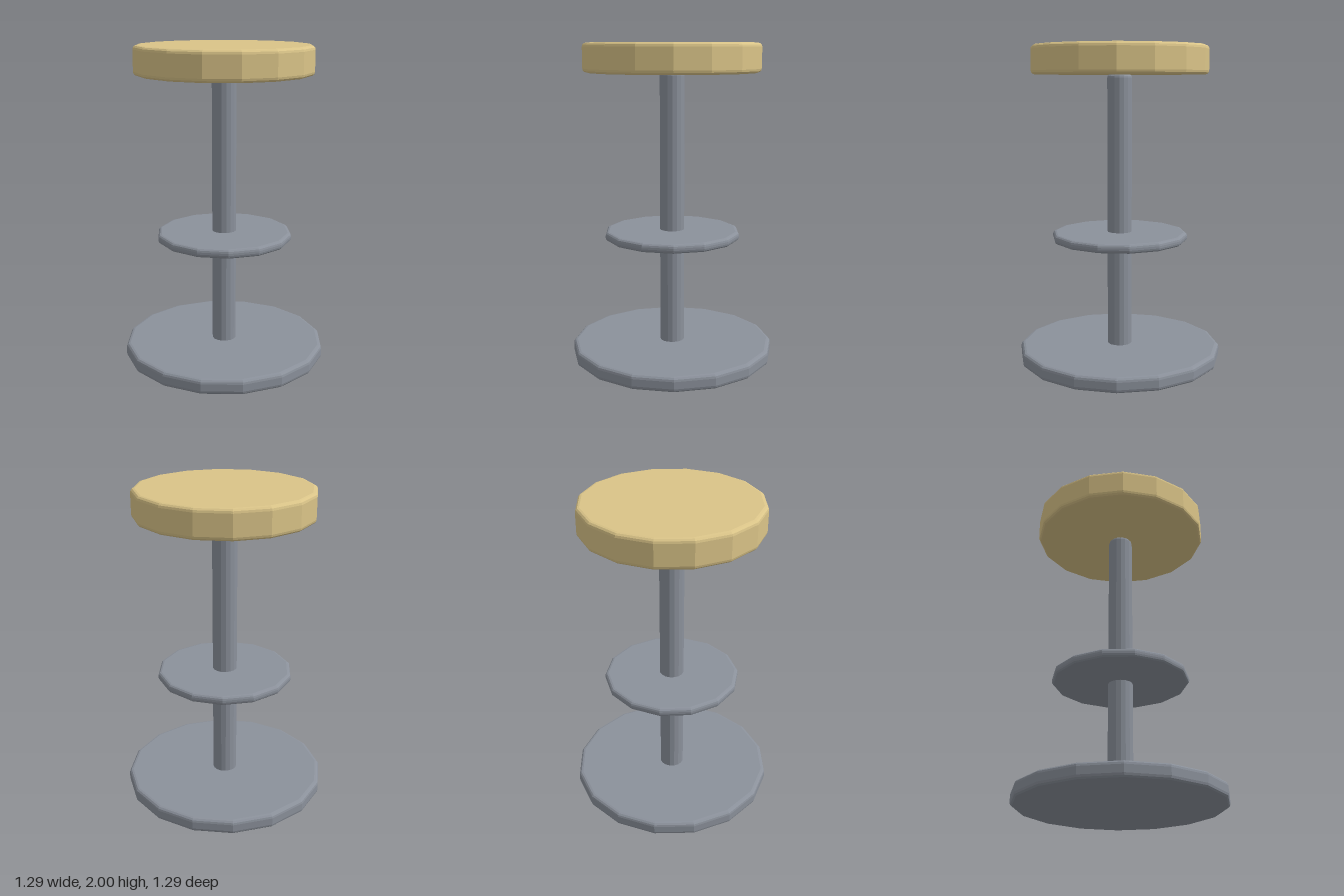
import * as THREE from 'three';

const BEVEL_STEPS = 3;

// Faceted disc with rounded rims, its first corner on +z
function roundedDisc(radius, bottom, top, bevel, sides) {
  const points = [new THREE.Vector2(0, bottom)];
  const addRim = (centreY, startAngle) => {
    for (let i = 0; i <= BEVEL_STEPS; i++) {
      const a = startAngle + (i / BEVEL_STEPS) * Math.PI / 2;
      points.push(new THREE.Vector2(
        radius - bevel + Math.cos(a) * bevel,
        centreY + Math.sin(a) * bevel
      ));
    }
  };
  addRim(bottom + bevel, -Math.PI / 2);
  addRim(top - bevel, 0);
  points.push(new THREE.Vector2(0, top));
  // Separate the faces so every facet has its own normal
  const geometry = new THREE.LatheGeometry(points, sides).toNonIndexed();
  geometry.computeVertexNormals();
  return geometry;
}

export function createModel() {
  const group = new THREE.Group();
  group.name = 'barStool';

  const metal = new THREE.MeshStandardMaterial({ color: 0x8b919b });
  metal.name = 'grey metal';
  const cushion = new THREE.MeshStandardMaterial({ color: 0xdac488 });
  cushion.name = 'tan cushion';

  // name, radius, bottom, top, bevel, sides, material
  const parts = [
    ['base', 0.645, 0, 0.095, 0.025, 16, metal],
    ['column', 0.077, 0.07, 1.822, 0.02, 16, metal],
    ['footrest', 0.43, 0.775, 0.832, 0.022, 14, metal],
    ['seat', 0.553, 1.82, 2, 0.025, 16, cushion],
  ];

  for (const [name, radius, bottom, top, bevel, sides, material] of parts) {
    const mesh = new THREE.Mesh(roundedDisc(radius, bottom, top, bevel, sides), material);
    mesh.name = name;
    group.add(mesh);
  }
  return group;
}
